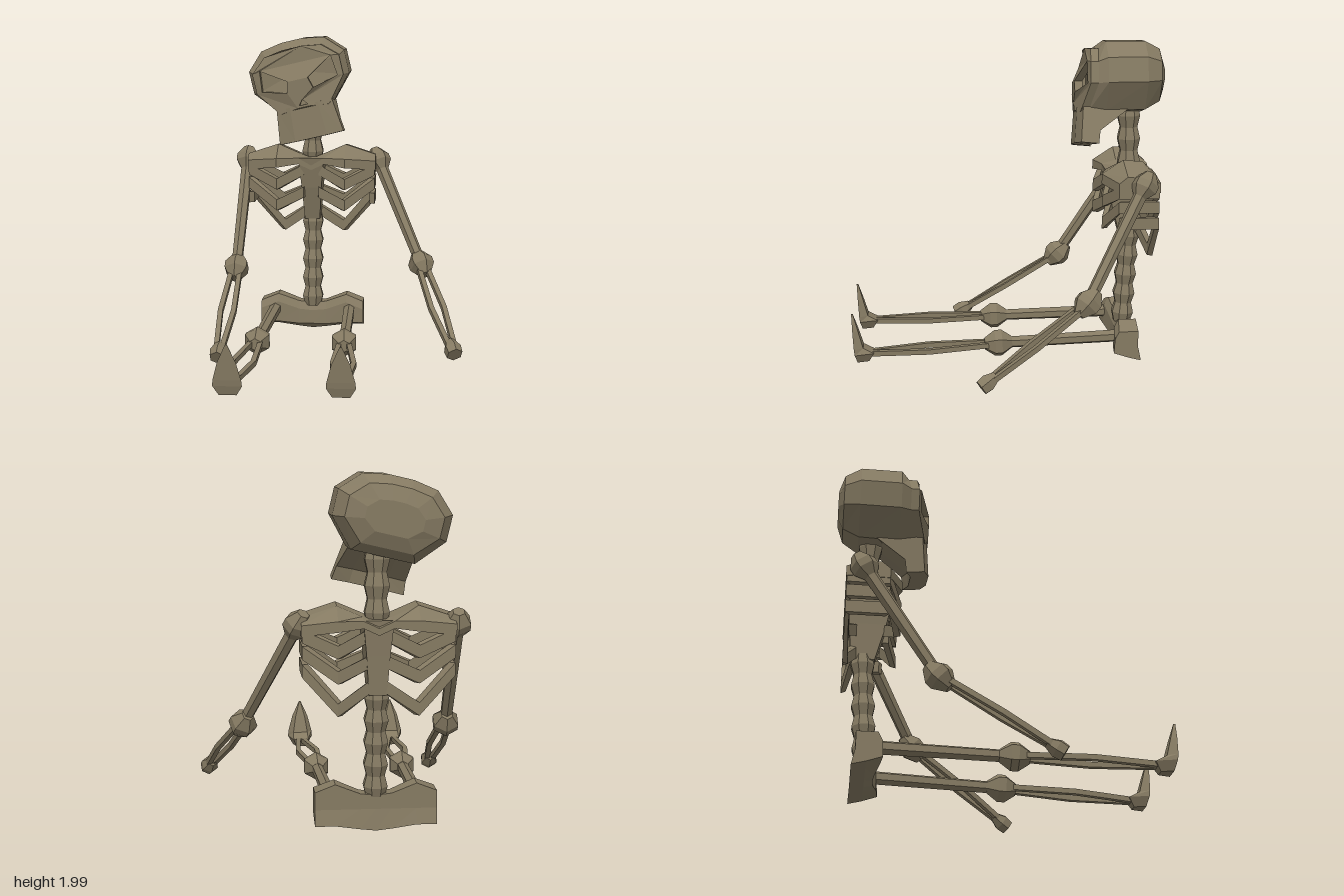
import * as THREE from 'three';

const boneMat = new THREE.MeshStandardMaterial({ color: 0x857a62, flatShading: true, side: THREE.DoubleSide });
const V = (x, y, z) => new THREE.Vector3(x, y, z);
const CX = -0.225; // x of the spine

function mesh(geometry, name) {
  const m = new THREE.Mesh(geometry, boneMat);
  m.name = name;
  return m;
}

// Skin a list of equal-length rings, close both ends, and face outward
function loft(rings, name) {
  const tris = [];
  const n = rings[0].length;
  for (let r = 0; r < rings.length - 1; r++) {
    const a = rings[r], b = rings[r + 1];
    for (let i = 0; i < n; i++) {
      const j = (i + 1) % n;
      tris.push([a[i], a[j], b[j]], [a[i], b[j], b[i]]);
    }
  }
  const cap = (ring, flip) => {
    const c = ring.reduce((s, p) => s.add(p), V(0, 0, 0)).divideScalar(n);
    for (let i = 0; i < n; i++) {
      const p = ring[i], q = ring[(i + 1) % n];
      tris.push(flip ? [c, q, p] : [c, p, q]);
    }
  };
  cap(rings[0], true);
  cap(rings[rings.length - 1], false);
  const volume = tris.reduce((s, [a, b, c]) => s + a.dot(b.clone().cross(c)), 0);
  const pos = [];
  for (const [a, b, c] of tris) {
    for (const p of volume < 0 ? [a, c, b] : [a, b, c]) pos.push(p.x, p.y, p.z);
  }
  const g = new THREE.BufferGeometry();
  g.setAttribute('position', new THREE.Float32BufferAttribute(pos, 3));
  g.computeVertexNormals();
  return mesh(g, name);
}

// Two directions across a bone: sideways and upward
function frame(a, b) {
  const d = b.clone().sub(a).normalize();
  const s = d.clone().cross(Math.abs(d.y) > 0.98 ? V(0, 0, 1) : V(0, 1, 0)).normalize();
  return [s, s.clone().cross(d), d];
}

// Bone through points, with a radius at each
function bone(pts, radii, name, sides = 6) {
  const [s, u] = frame(pts[0], pts[pts.length - 1]);
  return loft(pts.map((p, k) => Array.from({ length: sides }, (_, i) => {
    const t = ((i + 0.5) / sides) * Math.PI * 2;
    return p.clone().addScaledVector(s, Math.cos(t) * radii[k]).addScaledVector(u, Math.sin(t) * radii[k]);
  })), name);
}

// Faceted joint swelling, lined up with the direction from a to b
function knot(c, a, b, r, len, name) {
  const d = frame(a, b)[2];
  return bone([-1, -0.25, 0.25, 1].map(t => c.clone().addScaledVector(d, t * len)), [r * 0.45, r, r, r * 0.45], name);
}

// Pair of thin bones bowing apart between two joints
function pairedBones(a, b, bow, r, name) {
  const g = new THREE.Group();
  g.name = name;
  const [s] = frame(a, b);
  for (const k of [-1, 1]) {
    const at = (t, w) => a.clone().lerp(b, t).addScaledVector(s, k * w);
    g.add(bone([at(0, 0.025), at(0.54, bow), at(1, 0.015)], [r, r, r], name + 'Strut', 4));
  }
  return g;
}

// Mirror half-sections (distance u from the spine first) into a full left-to-right loft
function mirrored(half, section, name) {
  const all = [...half.slice(1).reverse().map(h => [-1, h]), ...half.map(h => [1, h])];
  return loft(all.map(([k, h]) => section(h).map(([z, y]) => V(CX + k * h[0], y, z))), name);
}

function buildHead() {
  const head = new THREE.Group();
  head.name = 'skull';
  const right = [[0.18, 0.09], [0.32, 0.25], [0.32, 0.4], [0.21, 0.51], [0.07, 0.535]];
  const outline = [...right, ...right.map(([x, y]) => [-x, y]).reverse()];
  const ring = (sx, top, bottom) => outline.map(([x, y]) => [x * sx, 0.3 + (y - 0.3) * (y > 0.3 ? top : bottom)]);
  const bend = (x, y) => -0.4 * Math.max(0, Math.abs(x) - 0.1) - 0.6 * Math.max(0, y - 0.38);
  const face = ring(0.9, 0.8, 1);

  // Cranium, front to back
  const rings = [face.map(([x, y]) => V(x, y, -0.468 + bend(x, y)))];
  for (const [z, sx, top, bottom] of [[-0.6, 1, 1, 1], [-0.84, 1, 1, 0.97], [-0.935, 0.82, 0.8, 0.72], [-0.968, 0.5, 0.45, 0.35]]) {
    rings.push(ring(sx, top, bottom).map(([x, y]) => V(x, y, z)));
  }
  head.add(loft(rings, 'cranium'));

  // Face plate with slanted eye sockets and a nose opening
  const toPts = list => list.map(([x, y]) => new THREE.Vector2(x, y));
  const shape = new THREE.Shape(toPts(face));
  for (const k of [-1, 1]) {
    shape.holes.push(new THREE.Path(toPts([[0.235, 0.39], [0.065, 0.285], [0.085, 0.215], [0.25, 0.255]].map(([x, y]) => [k * x, y]))));
  }
  shape.holes.push(new THREE.Path(toPts([[-0.04, 0.105], [0.04, 0.105], [0, 0.155]])));
  const plate = new THREE.ExtrudeGeometry(shape, { depth: 0.05, bevelEnabled: false });
  const p = plate.attributes.position;
  for (let i = 0; i < p.count; i++) p.setZ(i, p.getZ(i) - 0.47 + bend(p.getX(i), p.getY(i)));
  plate.computeVertexNormals();
  head.add(mesh(plate, 'face'));

  // Jaw, widening downward and rounded at the sides
  const jaw = [[-0.43, 0.12], [-0.412, -0.1], [-0.52, -0.11], [-0.53, -0.03], [-0.72, 0.11]];
  head.add(loft([-1, -0.5, 0.5, 1].map(k => jaw.map(([z, y]) =>
    V(k * (0.185 + 0.13 * (0.1 - y)), y, z - (Math.abs(k) > 0.9 ? 0.03 : 0)))), 'jaw'));

  head.position.set(CX, 1.45, 0);
  head.rotation.z = 0.23;
  return head;
}

// Knobbly column of vertebrae
function vertebrae(a, b, count, r, name) {
  const pts = [], radii = [];
  for (let i = 0; i <= count * 2; i++) {
    pts.push(a.clone().lerp(b, i / (count * 2)));
    radii.push(i % 2 ? r : r * 0.76);
  }
  return bone(pts, radii, name, 8);
}

function buildTorso() {
  const torso = new THREE.Group();
  torso.name = 'torso';
  torso.add(vertebrae(V(CX, 1.16, -0.77), V(CX, 1.6, -0.76), 3, 0.075, 'neck'));
  torso.add(vertebrae(V(CX, 0.18, -0.745), V(CX, 0.82, -0.78), 5, 0.073, 'lowerSpine'));

  // Breastbone and upper spine as one tapered column
  torso.add(loft([[0.78, 0.05, -0.71, -0.85], [1.0, 0.065, -0.65, -0.865], [1.2, 0.085, -0.61, -0.88]].map(([y, w, f, b]) =>
    [V(CX - w, y, f), V(CX + w, y, f), V(CX + w, y, b), V(CX - w, y, b)]), 'breastbone'));

  // Collar: u, ridge height, front edge top and bottom, front z
  torso.add(mirrored([[0, 1.19, 1.16, 1.12, -0.62], [0.085, 1.225, 1.2, 1.16, -0.61], [0.225, 1.285, 1.2, 1.14, -0.57], [0.425, 1.22, 1.18, 1.12, -0.65]],
    ([, ridge, top, bottom, zf]) => [[zf, bottom], [zf, top], [-0.7, ridge], [-0.82, ridge - 0.01], [-0.9, top], [-0.9, bottom]], 'collar'));

  // Ribs: inner, lowest and outer heights; the last pair has no front half
  [[1.12, 1.03, 1.12], [0.97, 0.89, 1.03], [0.83, 0.71, 0.93]].forEach(([yi, yv, yo], i) => {
    for (const k of [-1, 1]) {
      const path = [[0.05, yi, -0.63], [0.225, yv, -0.575], [0.42, yo, -0.65], [0.42, yo, -0.895], [0.225, yv, -0.895], [0.04, yi, -0.85]];
      torso.add(loft(path.slice(i === 2 ? 2 : 0).map(([u, y, z]) => {
        const inward = V(-u, 0, (-0.77 - z) * 2).normalize().multiplyScalar(0.04);
        const ring = [];
        for (const [t, h] of [[0, -0.036], [0, 0.036], [1, 0.036], [1, -0.036]]) {
          ring.push(V(CX + k * (u + inward.x * t), y + h, z + inward.z * t));
        }
        return ring;
      }), 'rib'));
    }
  });

  // Pelvis: u, top, front bottom, back bottom, front z
  torso.add(mirrored([[0, 0.2, 0.06, 0.0, -0.69], [0.09, 0.21, 0.06, 0.01, -0.685], [0.23, 0.265, 0.08, 0.03, -0.66], [0.345, 0.22, 0.08, 0.03, -0.65]],
    ([, top, fb, bb, zf]) => [[zf, fb], [zf - 0.005, top - 0.05], [zf - 0.03, top], [-0.8, top], [-0.8, 0.12], [-0.82, bb], [-0.74, bb + 0.02]], 'pelvis'));
  return torso;
}

function buildArm(name, shoulder, elbow, hand) {
  const arm = new THREE.Group();
  arm.name = name;
  arm.add(knot(shoulder, shoulder, elbow, 0.08, 0.085, 'shoulder'));
  arm.add(bone([shoulder, elbow], [0.042, 0.036], 'upperArm'));
  arm.add(knot(elbow, shoulder, hand, 0.082, 0.09, 'elbow'));
  arm.add(pairedBones(elbow, hand, 0.042, 0.022, 'forearm'));
  const [, , d] = frame(elbow, hand);
  const at = t => hand.clone().addScaledVector(d, t);
  arm.add(bone([at(-0.06), at(0), at(0.05)], [0.03, 0.055, 0.05], 'hand'));
  return arm;
}

function buildLeg(name, hip, knee, ankle) {
  const leg = new THREE.Group();
  leg.name = name;
  leg.add(bone([hip, knee], [0.04, 0.036], 'thigh'));
  leg.add(knot(knee, hip, ankle, 0.085, 0.085, 'knee'));
  leg.add(pairedBones(knee, ankle, 0.062, 0.022, 'shin'));
  // Foot with toes pointing up: height, half width, back z, front z
  leg.add(loft([[0.065, 0.05, 0.87, 0.94], [0.12, 0.083, 0.84, 0.955], [0.155, 0.08, 0.905, 0.96], [0.26, 0.052, 0.935, 0.968], [0.36, 0.006, 0.965, 0.975]].map(([y, w, b, f]) =>
    [V(ankle.x - w, y, f), V(ankle.x + w, y, f), V(ankle.x + w * 0.6, y, b), V(ankle.x - w * 0.6, y, b)]), 'foot'));
  return leg;
}

export function createModel() {
  const model = new THREE.Group();
  model.name = 'seatedSkeleton';
  model.add(buildHead(), buildTorso());
  model.add(buildArm('rightArm', V(-0.67, 1.17, -0.8), V(-0.69, 0.51, -0.37), V(-0.705, 0.12, 0.27)));
  model.add(buildArm('leftArm', V(0.215, 1.17, -0.8), V(0.51, 0.54, -0.43), V(0.71, 0.14, 0.165)));
  model.add(buildLeg('rightLeg', V(-0.475, 0.165, -0.7), V(-0.495, 0.14, 0.07), V(-0.54, 0.11, 0.87)));
  model.add(buildLeg('leftLeg', V(0.025, 0.165, -0.7), V(0.045, 0.14, 0.07), V(0.09, 0.11, 0.87)));
  return model;
}
